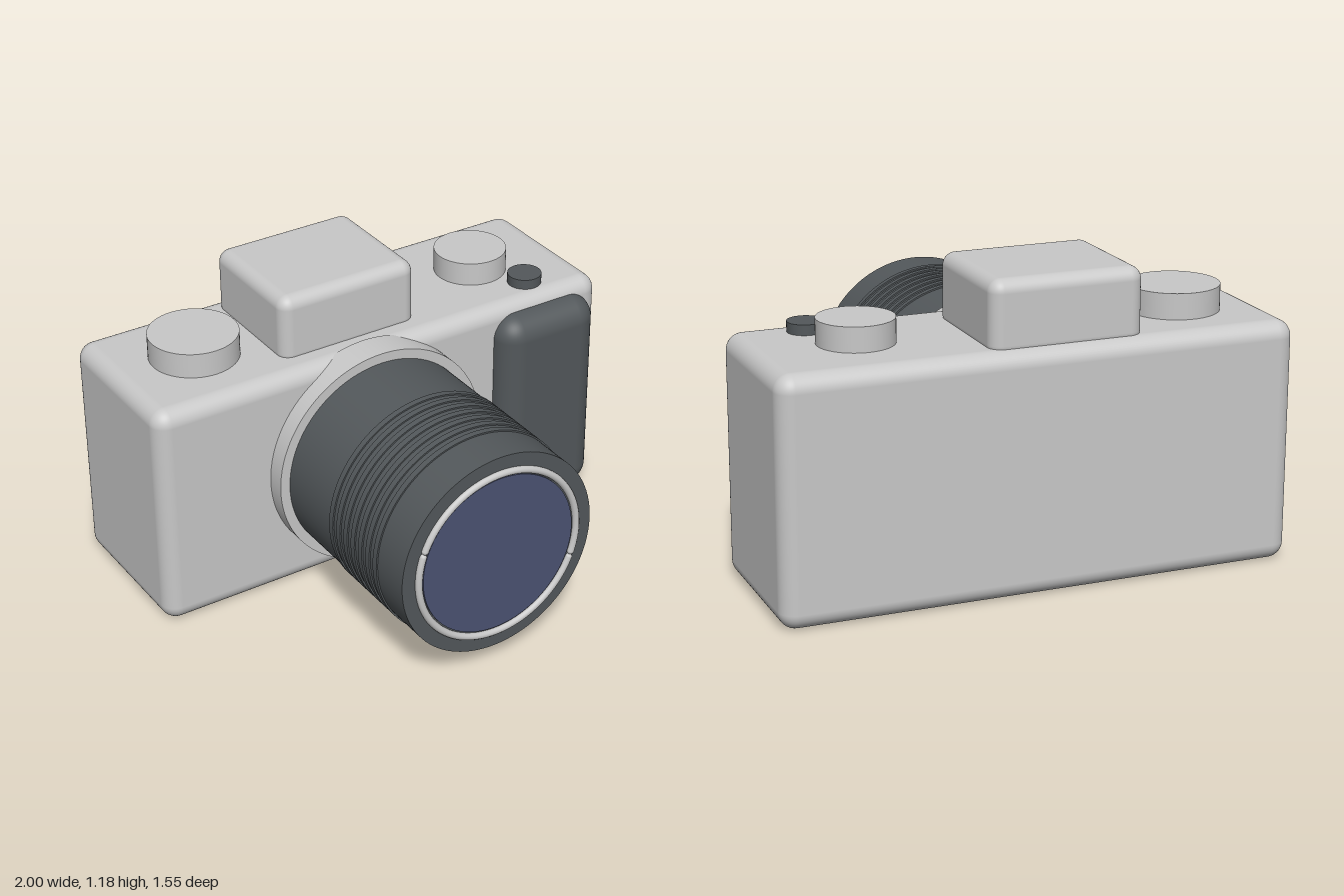
import * as THREE from 'three';
import { RoundedBoxGeometry } from 'three/addons/geometries/RoundedBoxGeometry.js';

export function createModel() {
  const camera = new THREE.Group();
  camera.name = 'camera';
  const material = (name, color) => {
    const m = new THREE.MeshStandardMaterial({ color });
    m.name = name;
    return m;
  };
  const metal = material('silver metal', 0xc8c8c8);
  const dark = material('dark grip rubber', 0x53585b);
  const glass = material('blue glass', 0x4b5272);

  const add = (name, geometry, mat, x, y, z, parent = camera) => {
    const mesh = new THREE.Mesh(geometry, mat);
    mesh.name = name;
    mesh.position.set(x, y, z);
    parent.add(mesh);
    return mesh;
  };
  // Rounded block given by its lower and upper limits
  const block = (name, mat, [x0, x1], [y0, y1], [z0, z1], r) =>
    add(name, new RoundedBoxGeometry(x1 - x0, y1 - y0, z1 - z0, 6, r), mat,
      (x0 + x1) / 2, (y0 + y1) / 2, (z0 + z1) / 2);
  // Upright cylinder for the top controls
  const knob = (name, mat, x, z, r, y0, y1) =>
    add(name, new THREE.CylinderGeometry(r, r, y1 - y0, 64), mat, x, (y0 + y1) / 2, z);

  // Body, viewfinder hump and hand grip
  block('body', metal, [-1, 1], [0.005, 0.94], [-0.775, -0.1], 0.065);
  block('viewfinderHump', metal, [-0.4, 0.195], [0.9, 1.19], [-0.725, -0.21], 0.05);
  block('grip', dark, [0.49, 0.945], [0.02, 0.895], [-0.27, -0.01], 0.095);

  // Dials and shutter button
  knob('leftDial', metal, 0.6, -0.435, 0.145, 0.9, 1.035);
  knob('rightDial', metal, -0.66, -0.435, 0.175, 0.9, 1.04);
  knob('shutterButton', dark, 0.72, -0.225, 0.068, 0.9, 0.98);

  // Lens, built along +z about its own axis
  const lens = new THREE.Group();
  lens.name = 'lens';
  lens.position.set(-0.08, 0.503, 0);
  camera.add(lens);
  const disc = (name, mat, r, z0, z1) => {
    const g = new THREE.CylinderGeometry(r, r, z1 - z0, 96).rotateX(Math.PI / 2);
    return add(name, g, mat, 0, 0, (z0 + z1) / 2, lens);
  };
  disc('lensMount', metal, 0.455, -0.15, -0.025);
  disc('lensBarrel', dark, 0.415, -0.1, 0.757);
  for (let i = 0; i < 7; i++) disc('focusRib', dark, 0.421, 0.27 + i * 0.05, 0.295 + i * 0.05);
  disc('frontGlass', glass, 0.328, 0.755, 0.762);

  // Front trim ring: two arcs with rounded ends
  const ringR = 0.347, tube = 0.014, gap = 0.07;
  for (const start of [-0.36, Math.PI - 0.36]) {
    const arc = Math.PI - gap;
    const half = new THREE.Group();
    half.name = 'trimRingHalf';
    half.position.z = 0.761;
    half.rotation.z = start + gap / 2;
    lens.add(half);
    add('trimArc', new THREE.TorusGeometry(ringR, tube, 12, 64, arc), metal, 0, 0, 0, half);
    for (const a of [0, arc])
      add('trimEnd', new THREE.SphereGeometry(tube, 12, 8), metal,
        ringR * Math.cos(a), ringR * Math.sin(a), 0, half);
  }
  return camera;
}
